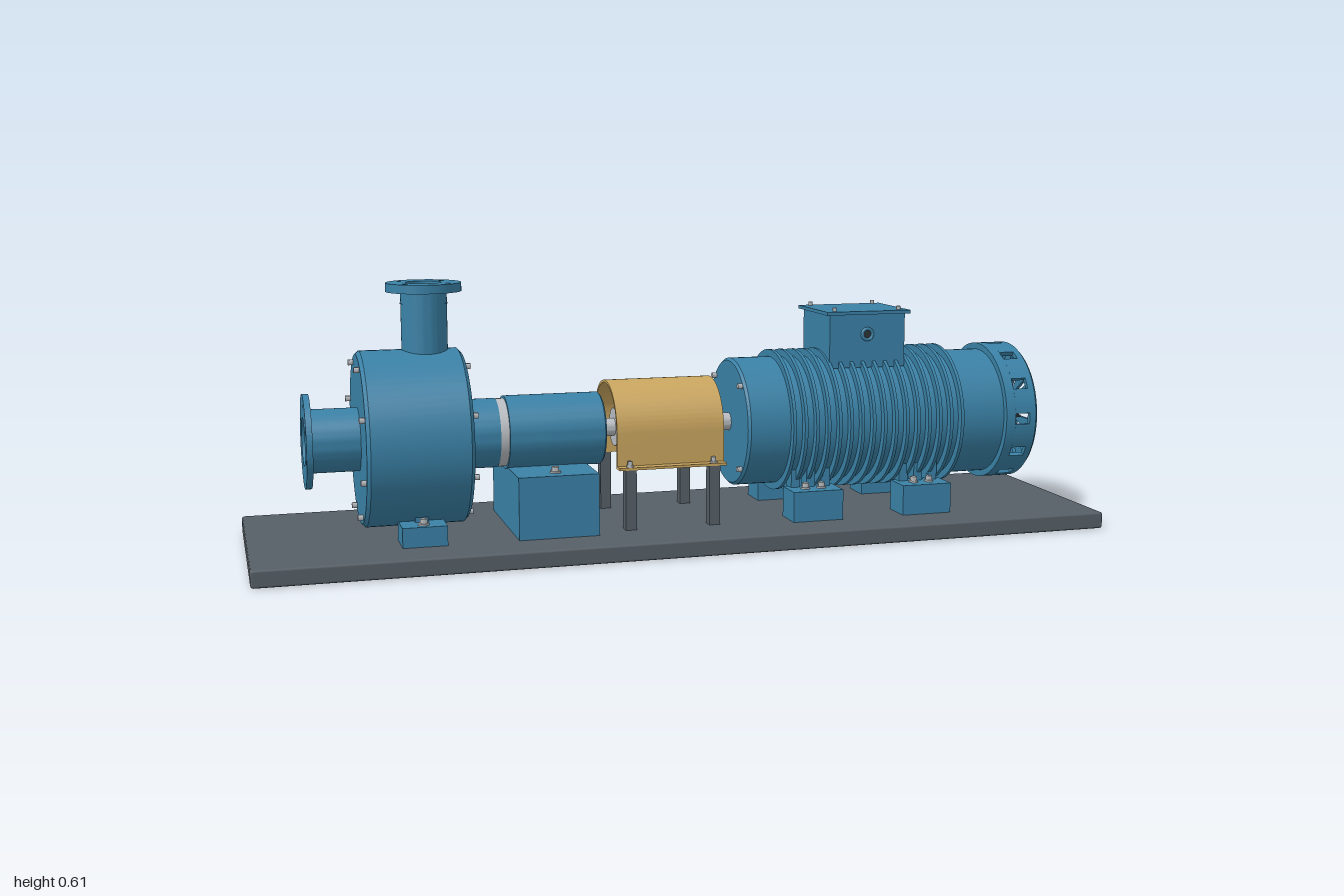
import * as THREE from 'three';
import { toCreasedNormals } from 'three/addons/utils/BufferGeometryUtils.js';
import { RoundedBoxGeometry } from 'three/addons/geometries/RoundedBoxGeometry.js';

const AXIS = 0.26; // height of the shaft line
const mat = (color, side = THREE.FrontSide) => new THREE.MeshStandardMaterial({ color, side });

export function createModel() {
  const root = new THREE.Group();
  const blue = mat(0x3a81a6), blueShell = mat(0x3a81a6, THREE.DoubleSide);
  const gold = mat(0xc9a55f), dark = mat(0x555f66), black = mat(0x2c3236), steel = mat(0xb9bdc1);

  const group = (name) => {
    const g = new THREE.Group();
    g.name = name;
    root.add(g);
    return g;
  };
  const add = (parent, name, geo, material, x = 0, y = 0, z = 0) => {
    const m = new THREE.Mesh(geo, material);
    m.name = name;
    m.position.set(x, y, z);
    parent.add(m);
    return m;
  };
  // Box given by its extents
  const box = (parent, name, material, x0, x1, y0, y1, z0, z1) =>
    add(parent, name, new THREE.BoxGeometry(x1 - x0, y1 - y0, z1 - z0), material,
      (x0 + x1) / 2, (y0 + y1) / 2, (z0 + z1) / 2);
  // Turned part; points are [position along axis, radius]
  const lathe = (pts, seg = 64) => toCreasedNormals(
    new THREE.LatheGeometry(pts.map(([a, r]) => new THREE.Vector2(r, a)), seg), 0.5);
  const turnX = (parent, name, material, pts, seg) =>
    add(parent, name, lathe(pts, seg).rotateZ(-Math.PI / 2), material, 0, AXIS, 0);
  const rodX = (parent, name, material, x0, x1, r) =>
    turnX(parent, name, material, [[x0, 0], [x0, r], [x1, r], [x1, 0]], 40);
  // Flat outline pushed along the shaft axis
  const extrudeX = (shape, x0, x1) => new THREE.ExtrudeGeometry(shape,
    { depth: x1 - x0, bevelEnabled: false, curveSegments: 32 }).rotateY(Math.PI / 2).translate(x0, 0, 0);
  const disc = (r) => new THREE.Shape().absarc(0, 0, r, 0, Math.PI * 2);
  const hole = (x, y, r) => new THREE.Path().absarc(x, y, r, 0, Math.PI * 2, true);
  const flangeShape = (r, inner, boltR, n) => {
    const s = disc(r);
    s.holes.push(hole(0, 0, inner));
    for (let i = 0; i < n; i++) {
      const a = (i + 0.5) / n * Math.PI * 2;
      s.holes.push(hole(Math.cos(a) * boltR, Math.sin(a) * boltR, 0.007));
    }
    return s;
  };
  const boltUp = (parent, x, y, z, r = 0.009) => {
    add(parent, 'washer', new THREE.CylinderGeometry(r * 1.4, r * 1.4, 0.004, 20), steel, x, y + 0.002, z);
    add(parent, 'bolt', new THREE.CylinderGeometry(r, r, 0.012, 6), steel, x, y + 0.008, z);
  };
  const boltRing = (parent, x, r, n, size = 0.007) => {
    for (let i = 0; i < n; i++) {
      const a = (i + 0.5) / n * Math.PI * 2;
      add(parent, 'bolt', new THREE.CylinderGeometry(size, size, 0.016, 6).rotateZ(Math.PI / 2), steel,
        x, AXIS + Math.sin(a) * r, Math.cos(a) * r);
    }
  };

  // Base plate
  add(root, 'basePlate', new RoundedBoxGeometry(2, 0.04, 0.54, 1, 0.006), dark, 0, 0.02, 0);

  // Pump casing, hollow from the suction side
  const pump = group('pump');
  turnX(pump, 'volute', blueShell, [[-0.745, 0.055], [-0.745, 0.192], [-0.737, 0.2], [-0.518, 0.2],
    [-0.51, 0.192], [-0.51, 0]], 72);
  for (const x of [-0.749, -0.506]) boltRing(pump, x, 0.18, 8);
  turnX(pump, 'suctionPipe', blueShell, [[-0.74, 0.055], [-0.862, 0.055], [-0.862, 0.072], [-0.74, 0.072]]);
  add(pump, 'suctionFlange', extrudeX(flangeShape(0.107, 0.055, 0.088, 8), -0.866, -0.852), blue, 0, AXIS, 0);
  rodX(pump, 'impellerNut', steel, -0.62, -0.5, 0.025);
  rodX(pump, 'impeller', blue, -0.59, -0.54, 0.12);
  add(pump, 'dischargePipe', lathe([[0.455, 0], [0.455, 0.04], [0.6, 0.04], [0.6, 0.052], [0.44, 0.052]]),
    blueShell, -0.59, 0, 0);
  add(pump, 'dischargeCollar', new THREE.CylinderGeometry(0.0535, 0.0535, 0.003, 48, 1, true), blue, -0.59, 0.565, 0);
  const topFlange = extrudeX(flangeShape(0.085, 0.04, 0.068, 4), 0.591, 0.611).rotateZ(Math.PI / 2);
  add(pump, 'dischargeFlange', topFlange, blue, -0.59, 0, 0);
  for (const s of [-1, 1]) {
    box(pump, 'pumpFoot', blue, -0.67, -0.57, 0.04, 0.085, Math.min(s * 0.08, s * 0.165), Math.max(s * 0.08, s * 0.165));
    box(pump, 'pumpFootWeb', blue, -0.635, -0.605, 0.08, 0.13, s * 0.1 - 0.015, s * 0.1 + 0.015);
    boltUp(pump, -0.62, 0.085, s * 0.14);
  }

  // Bearing housing on its pedestal
  const bearing = group('bearingHousing');
  turnX(bearing, 'adapter', blue, [[-0.52, 0.08], [-0.432, 0.08], [-0.432, 0]]);
  rodX(bearing, 'sealRing', steel, -0.435, -0.41, 0.079);
  turnX(bearing, 'housing', blue, [[-0.412, 0], [-0.412, 0.085], [-0.19, 0.085], [-0.186, 0.081], [-0.186, 0]]);
  box(bearing, 'pedestal', blue, -0.41, -0.225, 0.04, 0.183, -0.165, 0.165);
  for (const s of [-1, 1]) boltUp(bearing, -0.318, 0.183, s * 0.125);

  // Shaft and coupling
  const coupling = group('coupling');
  rodX(coupling, 'shaft', steel, -0.2, 0.15, 0.021);
  for (const [x0, x1, r] of [[-0.15, -0.08, 0.045], [-0.08, -0.045, 0.07], [-0.035, 0, 0.07], [0, 0.07, 0.045]])
    rodX(coupling, 'couplingHub', steel, x0, x1, r);
  rodX(coupling, 'couplingInsert', black, -0.045, -0.035, 0.064);

  // Arched guard with side flanges, standing on posts
  const guard = group('couplingGuard');
  const arch = new THREE.Shape();
  arch.moveTo(0.136, 0.18).lineTo(0.136, 0.186).lineTo(0.112, 0.186).lineTo(0.112, AXIS);
  arch.absarc(0, AXIS, 0.112, 0, Math.PI);
  arch.lineTo(-0.112, 0.186).lineTo(-0.136, 0.186).lineTo(-0.136, 0.18).lineTo(-0.106, 0.18).lineTo(-0.106, AXIS);
  arch.absarc(0, AXIS, 0.106, Math.PI, 0, true);
  arch.lineTo(0.106, 0.18).closePath();
  add(guard, 'guardCover', toCreasedNormals(extrudeX(arch, -0.17, 0.087), 0.5), gold);
  for (const s of [-1, 1]) for (const x of [-0.143, 0.058]) {
    box(guard, 'guardPost', dark, x - 0.013, x + 0.013, 0.04, 0.18, s * 0.122 - 0.013, s * 0.122 + 0.013);
    boltUp(guard, x, 0.186, s * 0.125, 0.006);
  }

  // Motor body with cooling fins
  const motor = group('motor');
  turnX(motor, 'motorBody', blue, [[0.135, 0], [0.135, 0.147], [0.141, 0.153], [0.79, 0.153], [0.79, 0]], 72);
  boltRing(motor, 0.132, 0.14, 4);
  for (let i = 0; i < 16; i++) {
    const x = 0.243 + i * 0.0285;
    turnX(motor, 'coolingFin', blue, [[x - 0.004, 0.15], [x - 0.004, 0.17], [x + 0.004, 0.17], [x + 0.004, 0.15]], 72);
  }
  for (const x of [0.305, 0.583]) for (const s of [-1, 1]) {
    box(motor, 'motorFoot', blue, x - 0.062, x + 0.062, 0.04, 0.112, s * 0.128 - 0.038, s * 0.128 + 0.038);
    for (const dx of [-0.038, 0, 0.038])
      box(motor, 'footRib', blue, x + dx - 0.011, x + dx + 0.011, 0.105, 0.155, s * 0.095 - 0.016, s * 0.095 + 0.016);
    for (const dx of [-0.02, 0.02]) boltUp(motor, x + dx, 0.112, s * 0.13, 0.008);
  }

  // Terminal box with lid and cable gland
  const terminal = group('terminalBox');
  box(terminal, 'terminalHousing', blue, 0.358, 0.55, 0.39, 0.518, -0.088, 0.088);
  box(terminal, 'terminalLid', blue, 0.347, 0.561, 0.518, 0.526, -0.097, 0.097);
  for (const x of [0.372, 0.536]) for (const z of [-0.08, 0.08])
    add(terminal, 'lidBolt', new THREE.CylinderGeometry(0.005, 0.005, 0.01, 6), steel, x, 0.53, z);
  add(terminal, 'cableGland', new THREE.TorusGeometry(0.013, 0.004, 10, 24), blue, 0.454, 0.47, 0.088);
  add(terminal, 'glandHole', new THREE.CircleGeometry(0.012, 24), black, 0.454, 0.47, 0.0885);

  // Fan cover: two rims joined by bars, closed by a slotted end plate
  const cover = group('fanCover');
  const ri = 0.157, ro = 0.168;
  turnX(cover, 'rearRim', blueShell, [[0.788, 0.15], [0.788, ro], [0.812, ro], [0.812, ri], [0.79, ri]], 72);
  turnX(cover, 'endRim', blueShell, [[0.85, ri], [0.85, ro], [0.866, ro], [0.873, 0.161], [0.873, ri], [0.85, ri]], 72);
  const half = Math.PI / 12 - 0.08;
  for (let i = 0; i < 12; i++) {
    const a = (i + 0.5) * Math.PI / 6;
    const bar = new THREE.Shape().absarc(0, 0, ro, a - half, a + half);
    bar.absarc(0, 0, ri, a + half, a - half, true);
    add(cover, 'coverBar', toCreasedNormals(extrudeX(bar, 0.812, 0.85), 0.5), blue, 0, AXIS, 0);
  }
  const grille = disc(0.159);
  grille.holes.push(hole(0, 0, 0.03));
  for (let i = 0; i < 20; i++) {
    const a = i * Math.PI / 10, c = Math.cos(a), s = Math.sin(a), w = 0.0065;
    const corners = [[0.073, -w], [0.073, w], [0.149, w], [0.149, -w]];
    grille.holes.push(new THREE.Path(corners.map(([u, v]) => new THREE.Vector2(u * c - v * s, u * s + v * c))));
  }
  add(cover, 'endGrille', extrudeX(grille, 0.862, 0.87), blue, 0, AXIS, 0);
  boltRing(cover, 0.872, 0.143, 4, 0.008);

  // Fan behind the grille and the shaft end
  const fan = group('fan');
  rodX(fan, 'fanHub', black, 0.79, 0.85, 0.045);
  rodX(fan, 'shaftEnd', steel, 0.79, 0.872, 0.024);
  for (let i = 0; i < 4; i++) {
    const blade = add(fan, 'fanBlade', new THREE.BoxGeometry(0.045, 0.09, 0.006).translate(0, 0.08, 0), black, 0.825, AXIS, 0);
    blade.rotation.x = i * Math.PI / 2;
  }
  return root;
}
